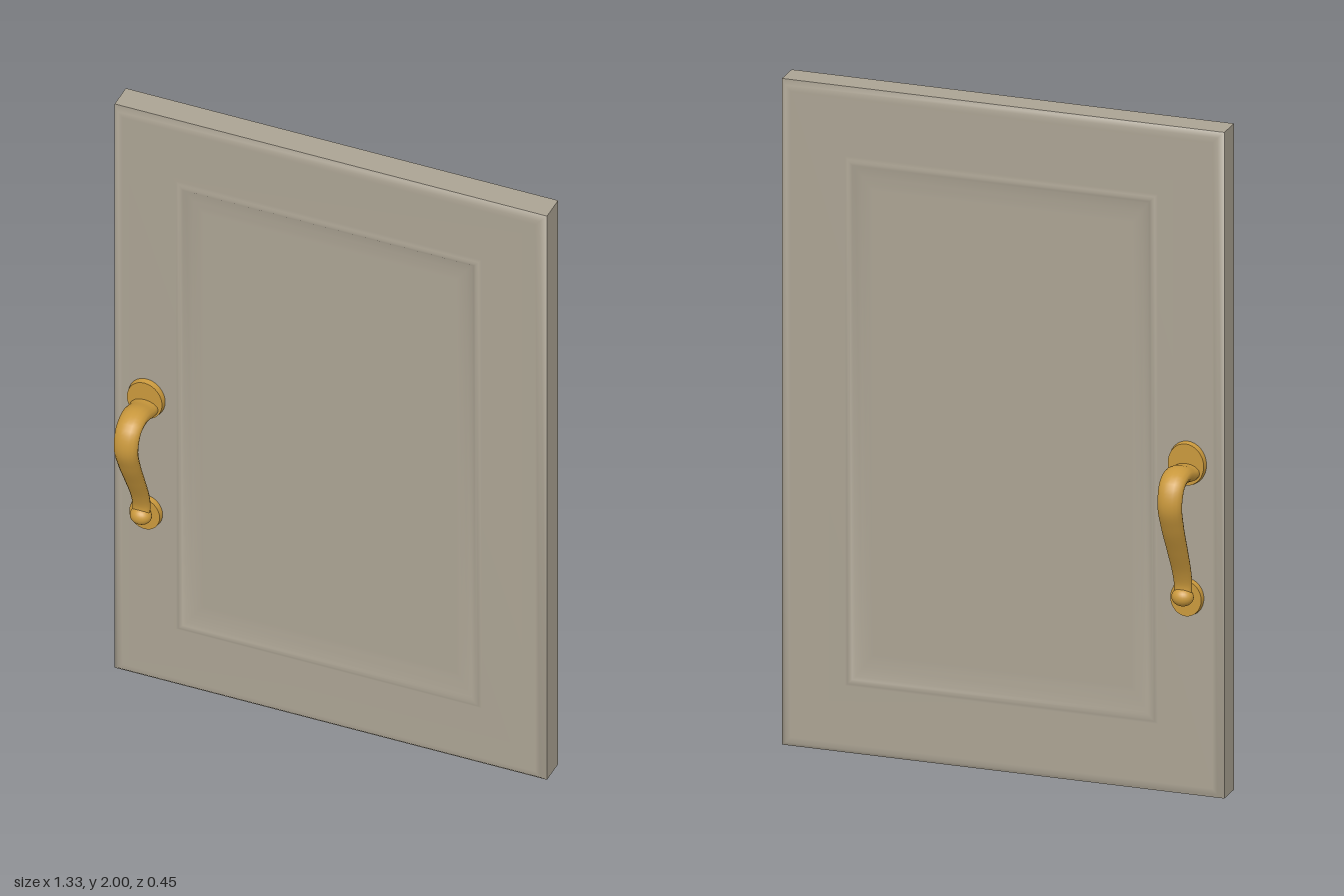
import * as THREE from 'three';

const paint = new THREE.MeshStandardMaterial({ color: 0xaba393 });
paint.name = 'greige paint';
const brass = new THREE.MeshStandardMaterial({ color: 0xc9983c });
brass.name = 'brass';

const HALF_W = 0.665, EDGE_Z = 0.04, HANDLE_X = -0.56;

// Nested rectangles of one door face: inset in x, inset in y, height z
const FACE = [
  [0, 0, EDGE_Z], [0.016, 0.014, 0.054], [0.03, 0.03, 0.054],
  [0.195, 0.205, 0.054], [0.203, 0.213, 0.058], [0.210, 0.220, 0.060], [0.218, 0.228, 0.059],
  [0.226, 0.236, 0.053], [0.245, 0.262, 0.049], [0.262, 0.288, 0.046], [0.275, 0.302, 0.046],
];

function mesh(name, geometry, material) {
  const m = new THREE.Mesh(geometry, material);
  m.name = name;
  return m;
}

// Corners counter-clockwise seen from +z
function rectangle(ix, iy, z) {
  const x = HALF_W - ix, y = 1 - iy;
  return [[-x, -y, z], [x, -y, z], [x, y, z], [-x, y, z]];
}

// Joins closed rings of n points into a surface
function ringIndex(rings, n) {
  const index = [];
  for (let k = 0; k < rings - 1; k++) {
    for (let j = 0; j < n; j++) {
      const a = k * n + j, b = k * n + (j + 1) % n;
      index.push(a, b, b + n, a, b + n, a + n);
    }
  }
  return index;
}

function surface(points, index) {
  const g = new THREE.BufferGeometry();
  g.setAttribute('position', new THREE.Float32BufferAttribute(points.flat(), 3));
  g.setIndex(index);
  return g;
}

// Chamfered frame, raised moulding and sunken field in one smooth skin
function faceGeometry() {
  const points = FACE.flatMap((f) => rectangle(...f));
  const index = ringIndex(FACE.length, 4);
  const c = (FACE.length - 1) * 4;
  index.push(c, c + 1, c + 2, c, c + 2, c + 3);
  const g = surface(points, index);
  g.computeVertexNormals();
  return g;
}

// Flat band around the door's thickness
function edgeGeometry() {
  const points = [...rectangle(0, 0, -EDGE_Z), ...rectangle(0, 0, EDGE_Z)];
  const g = surface(points, ringIndex(2, 4)).toNonIndexed();
  g.computeVertexNormals();
  return g;
}

// Oval-section grip swept along a curve in the yz plane
function gripGeometry() {
  const curve = new THREE.CatmullRomCurve3([
    [0.975, 0.05], [0.98, 0.09], [0.992, 0.14], [0.975, 0.185], [0.92, 0.203],
    [0.85, 0.181], [0.77, 0.142], [0.69, 0.104], [0.645, 0.092], [0.61, 0.097],
  ].map(([y, z]) => new THREE.Vector3(0, y, z)));
  const steps = 48, n = 16, points = [];
  const X = new THREE.Vector3(1, 0, 0);
  for (let i = 0; i <= steps; i++) {
    const t = i / steps;
    const p = curve.getPointAt(t);
    const normal = curve.getTangentAt(t).cross(X);
    const rx = 0.043 - 0.017 * t;
    const rn = 0.027 - 0.012 * t;
    for (let j = 0; j < n; j++) {
      const a = (j / n) * Math.PI * 2;
      const q = p.clone().addScaledVector(X, rx * Math.cos(a)).addScaledVector(normal, rn * Math.sin(a));
      points.push(q.toArray());
    }
  }
  const g = surface(points, ringIndex(steps + 1, n));
  g.computeVertexNormals();
  return g;
}

// Oval mounting plate with a slightly tapered rim
function plate(name, y, rx, ry) {
  const m = mesh(name, new THREE.CylinderGeometry(0.93, 1, 0.026, 32), brass);
  m.rotation.x = Math.PI / 2;
  m.scale.set(rx, 1, ry);
  m.position.set(0, y, 0.058);
  return m;
}

function handle(name) {
  const g = new THREE.Group();
  g.name = name;
  g.add(plate('upperPlate', 1.0, 0.058, 0.067));
  g.add(plate('lowerPlate', 0.598, 0.05, 0.057));
  g.add(mesh('grip', gripGeometry(), brass));

  // Rounded foot and the stem fixing it to the lower plate
  const foot = mesh('foot', new THREE.SphereGeometry(0.027, 24, 16), brass);
  foot.scale.x = 1.2;
  foot.position.set(0, 0.612, 0.097);
  g.add(foot);
  const stem = mesh('footStem', new THREE.CylinderGeometry(0.018, 0.022, 0.04, 16), brass);
  stem.rotation.x = Math.PI / 2;
  stem.position.set(0, 0.608, 0.078);
  g.add(stem);

  g.position.x = HANDLE_X;
  return g;
}

export function createModel() {
  const model = new THREE.Group();
  model.name = 'panelledDoor';

  const slab = new THREE.Group();
  slab.name = 'slab';
  slab.position.y = 1;
  const front = mesh('frontFace', faceGeometry(), paint);
  const back = mesh('backFace', front.geometry, paint);
  back.rotation.y = Math.PI;
  slab.add(front, back, mesh('edgeBand', edgeGeometry(), paint));

  const frontHandle = handle('frontHandle');
  const backHandle = handle('backHandle');
  backHandle.rotation.y = Math.PI;

  model.add(slab, frontHandle, backHandle);
  return model;
}
